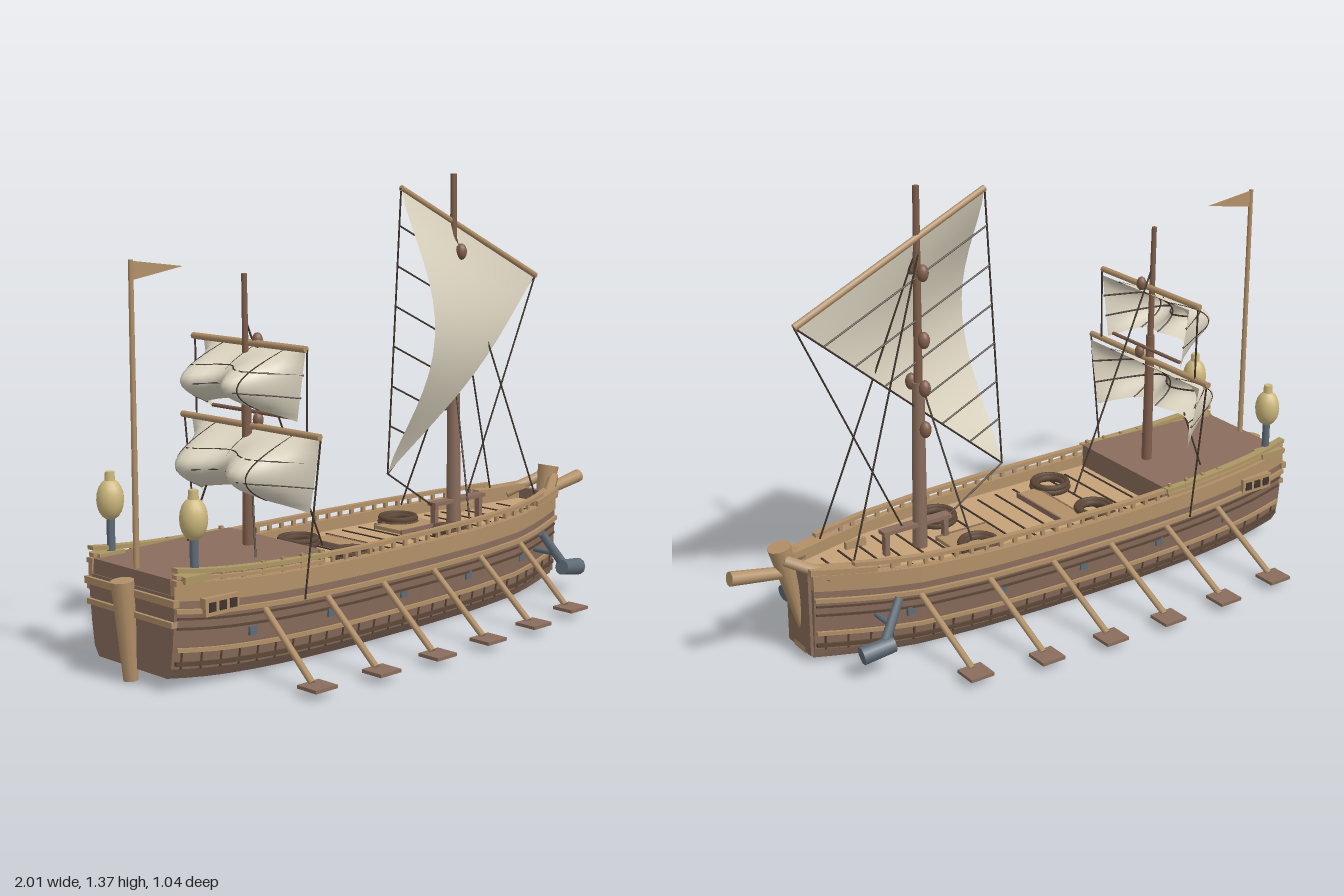
import * as THREE from 'three';

const M = {};
const colours = {
  hullBrown: 0x8a6d5c, darkWood: 0x5c4737, tanWood: 0xb29068, deckTan: 0xc6a379, sailCloth: 0xdcd4c0,
  rope: 0x40342c, iron: 0x5f6c78, lanternYellow: 0xcdb87c, oliveTrim: 0xac9763, mastBrown: 0x7f5e4b,
};
for (const [name, color] of Object.entries(colours)) {
  M[name] = new THREE.MeshStandardMaterial({ color });
  M[name].name = name;
}
M.sailCloth.side = THREE.DoubleSide;

const V = (x, y, z) => new THREE.Vector3(x, y, z);

// Piecewise linear lookup in a short list of [key, value] knots
function lookup(knots, k) {
  for (let i = 1; i < knots.length; i++) {
    const [k0, a] = knots[i - 1], [k1, b] = knots[i];
    if (k <= k1) return THREE.MathUtils.lerp(a, b, Math.max(0, (k - k0) / (k1 - k0)));
  }
  return knots[knots.length - 1][1];
}
const PLAN = [[-.95, .19], [-.8, .208], [-.55, .222], [-.3, .228], [0, .225], [.25, .212], [.47, .183], [.6, .145], [.78, .08]];
const FLARE = [[.005, .8], [.035, .9], [.1, .95], [.2, 1], [.32, .99]];
const half = (x, y) => lookup(PLAN, x) * lookup(FLARE, y);
const lift = (x) => .025 * Math.pow(Math.abs(x) / .85, 4);

export function createModel() {
  const ship = new THREE.Group();
  ship.name = 'sailingGalley';

  const add = (name, geo, mat, x = 0, y = 0, z = 0) => {
    const m = new THREE.Mesh(geo, mat);
    m.name = name;
    m.position.set(x, y, z);
    ship.add(m);
    return m;
  };
  const box = (name, mat, w, h, d, x, y, z) => add(name, new THREE.BoxGeometry(w, h, d), mat, x, y, z);
  // Tapered rod from a to b
  const rod = (name, mat, a, b, r0, r1 = r0, sides = 8) => {
    const d = b.clone().sub(a);
    const m = add(name, new THREE.CylinderGeometry(r1, r0, d.length(), sides), mat);
    m.position.copy(a).addScaledVector(d, .5);
    m.quaternion.setFromUnitVectors(V(0, 1, 0), d.normalize());
    return m;
  };
  const line = (name, a, b) => rod(name, M.rope, a, b, .003, .003, 5);
  const ball = (name, mat, r, sy, x, y, z) => {
    const m = add(name, new THREE.SphereGeometry(r, 14, 10), mat, x, y, z);
    m.scale.y = sy;
    return m;
  };

  // Loft four-cornered sections along x; corners(x) gives [z, y] pairs
  const loft = (name, mat, x0, x1, corners, n = 28) => {
    const pos = [], idx = [];
    for (let i = 0; i <= n; i++) {
      const x = x0 + (x1 - x0) * i / n;
      for (const [z, y] of corners(x)) pos.push(x, y, z);
    }
    for (let i = 0; i < n; i++) for (let k = 0; k < 4; k++) {
      const a = i * 4 + k, b = i * 4 + (k + 1) % 4;
      idx.push(a, b, a + 4, b, b + 4, a + 4);
    }
    const e = n * 4;
    idx.push(0, 2, 1, 0, 3, 2, e, e + 1, e + 2, e, e + 2, e + 3);
    const g = new THREE.BufferGeometry();
    g.setAttribute('position', new THREE.Float32BufferAttribute(pos, 3));
    g.setIndex(idx);
    const flat = g.toNonIndexed();
    flat.computeVertexNormals();
    return add(name, flat, mat);
  };
  // Full-width slab of the hull between two heights
  const slab = (name, mat, y0, y1, x0 = -.95, x1 = .775, inset = 0) => loft(name, mat, x0, x1, (x) => {
    const a = half(x, y0) - inset, b = half(x, y1) - inset, l = lift(x);
    return [[-a, y0 + l], [-b, y1 + l], [b, y1 + l], [a, y0 + l]];
  });
  // Mirrored strip following the sides
  const strip = (name, mat, y, h, x0, x1, inner, outer) => {
    for (const s of [-1, 1]) loft(name, mat, x0, x1, (x) => {
      const w = half(x, y), l = lift(x) + y;
      const [p, q] = s > 0 ? [w + inner, w + outer] : [-w - outer, -w - inner];
      return [[p, l - h / 2], [p, l + h / 2], [q, l + h / 2], [q, l - h / 2]];
    });
  };

  // Hull
  slab('hullBottom', M.hullBrown, .005, .035);
  slab('lowerStrake', M.hullBrown, .035, .1);
  slab('middleStrake', M.hullBrown, .1, .2);
  slab('upperStrake', M.hullBrown, .2, .24);
  slab('deck', M.deckTan, .24, .246, -.45, .775, .004);
  strip('bulwark', M.tanWood, .256, .056, -.95, .775, -.014, .003);
  strip('lowWale', M.darkWood, .05, .012, -.94, .77, -.005, .008);
  strip('bilgeWale', M.tanWood, .09, .012, -.94, .77, -.005, .009);
  strip('midWale', M.darkWood, .15, .007, -.94, .77, -.005, .005);
  strip('portWale', M.darkWood, .178, .006, -.94, .77, -.005, .005);
  strip('mainWale', M.tanWood, .2, .013, -.95, .775, -.005, .011);
  strip('gunwale', M.tanWood, .276, .014, -.95, .78, -.016, .012);
  strip('handRail', M.tanWood, .309, .012, -.44, .66, -.015, .005);
  strip('bowRail', M.tanWood, .29, .02, .6, .785, -.04, .01);

  // Side ribs, balusters and iron fittings
  for (const s of [-1, 1]) {
    for (let i = 0; i < 27; i++) {
      const x = -.92 + i * .064;
      rod('lowerRib', M.darkWood, V(x, .035 + lift(x), s * (half(x, .035) + .001)), V(x, .095 + lift(x), s * (half(x, .095) + .001)), .004, .004, 4);
    }
    for (let i = 0; i < 23; i++) {
      const x = -.44 + i * .0495;
      box('baluster', M.tanWood, .012, .034, .01, x, .291 + lift(x), s * (half(x, .29) - .005));
    }
    for (const x of [-.69, -.4, -.1, .2, .5]) box('ironRing', M.iron, .026, .026, .012, x, .14, s * half(x, .14));
  }

  // Deck planks, hatches, beams and rope coils
  for (let i = 0; i < 16; i++) {
    const x = -.39 + i * .07;
    box('plankSeam', M.rope, .006, .003, 2 * half(x, .24) - .09, x, .248 + lift(x), 0);
  }
  box('aftHatch', M.tanWood, .07, .016, .24, -.125, .254, 0);
  for (const x of [-.162, -.088]) box('aftHatchEdge', M.hullBrown, .006, .018, .246, x, .254, 0);
  box('foreHatch', M.tanWood, .18, .012, .12, .21, .253, -.06);
  for (const z of [-.12, 0]) box('foreHatchEdge', M.hullBrown, .186, .015, .006, .21, .254, z);
  for (const x of [-.215, .225]) for (const z of [-.12, .12]) for (const [r, y] of [[.058, .256], [.044, .264], [.056, .27]]) {
    add('ropeCoil', new THREE.TorusGeometry(r, .01, 6, 22).rotateX(Math.PI / 2), M.darkWood, x, y, z);
  }
  for (const z of [-.1, .1]) box('mooringBlock', M.tanWood, .07, .025, .014, .53, .262, z);
  box('fifeRail', M.hullBrown, .24, .012, .035, .375, .325, 0);
  for (const x of [.27, .48]) box('fifePost', M.hullBrown, .016, .08, .02, x, .285, 0);

  // Stern cabin, trim and galleries
  loft('sternCabin', M.hullBrown, -.945, -.415, (x) => {
    const w = half(x, .3) - .012;
    return [[-w, .24], [-w, .322], [w, .322], [w, .24]];
  }, 10);
  strip('sternRail', M.oliveTrim, .312, .012, -.945, -.42, -.014, .012);
  strip('sternLowerRail', M.tanWood, .293, .01, -.945, -.43, -.014, .006);
  box('transomBeam', M.tanWood, .02, .02, .4, -.95, .26, 0);
  box('transomLowerBeam', M.tanWood, .02, .016, .38, -.95, .2, 0);
  for (const s of [-1, 1]) {
    box('lanternBase', M.oliveTrim, .09, .02, .05, -.885, .322, s * .19);
    box('sternGallery', M.tanWood, .12, .05, .025, -.81, .238, s * .212);
    for (let i = 0; i < 3; i++) box('galleryWindow', M.rope, .024, .026, .005, -.847 + i * .037, .238, s * .2255);
    for (let i = 0; i < 8; i++) box('sternPostlet', M.tanWood, .01, .05, .01, -.93 + i * .07, .305, s * (half(-.93 + i * .07, .3) - .004));
  }
  rod('sternPost', M.tanWood, V(-.955, .01, 0), V(-.978, .295, 0), .022, .034, 10);

  // Bow face, stem and bowsprit
  box('bowFace', M.hullBrown, .02, .27, .135, .775, .165, 0);
  rod('stemPost', M.tanWood, V(.775, .1, 0), V(.838, .375, 0), .012, .036, 12);
  for (const s of [-1, 1]) rod('bowCheek', M.tanWood, V(.72, .285, s * .09), V(.835, .34, s * .025), .02, .018, 6);
  box('keelFoot', M.tanWood, .03, .02, .07, .77, .035, 0);
  rod('bowsprit', M.tanWood, V(.8, .285, 0), V(1, .318, 0), .018, .022, 10);

  // Oars and anchors
  [[-.68, .46], [-.455, .48], [-.23, .483], [-.01, .48], [.215, .465], [.44, .425]].forEach(([x, z]) => {
    for (const s of [-1, 1]) {
      rod('oarShaft', M.tanWood, V(x + .035, .2, s * (half(x, .2) - .01)), V(x, .036, s * (z - .02)), .01, .01, 7);
      box('oarBlade', M.hullBrown, .08, .01, .075, x, .031, s * z);
    }
  });
  for (const s of [-1, 1]) {
    rod('anchorShank', M.iron, V(.56, .215, s * .205), V(.635, .1, s * .24), .013, .016, 8);
    rod('anchorWeight', M.iron, V(.61, .1, s * .25), V(.71, .085, s * .238), .025, .028, 10);
    rod('anchorPin', M.iron, V(.6, .145, s * .13), V(.6, .145, s * .225), .009);
  }

  // Stern lanterns and pennant
  for (const z of [-.185, .185]) {
    rod('lanternPost', M.iron, V(-.875, .31, z), V(-.875, .435, z), .012);
    ball('lanternGlobe', M.lanternYellow, .04, 1.5, -.875, .48, z);
    rod('lanternCap', M.lanternYellow, V(-.875, .53, z), V(-.875, .56, z), .016, .014, 10);
  }
  rod('flagPole', M.tanWood, V(-.928, .28, 0), V(-.928, 1.17, 0), .009, .007);
  const pennant = new THREE.Shape([[-.922, 1.166], [-.922, 1.115], [-.75, 1.143]].map(([x, y]) => new THREE.Vector2(x, y)));
  add('pennant', new THREE.ExtrudeGeometry(pennant, { depth: .005, bevelEnabled: false }), M.tanWood, 0, 0, -.0025);

  // Sail surface from a point function of u and v
  const sail = (name, f) => {
    const g = new THREE.PlaneGeometry(1, 1, 18, 16), p = g.attributes.position;
    for (let i = 0; i < p.count; i++) {
      const q = f(p.getX(i) + .5, .5 - p.getY(i));
      p.setXYZ(i, q.x, q.y, q.z);
    }
    g.computeVertexNormals();
    add(name, g, M.sailCloth);
  };
  const seam = (name, f, r, offset) => {
    const pts = Array.from({ length: 13 }, (_, i) => f(i / 12).add(offset));
    add(name, new THREE.TubeGeometry(new THREE.CatmullRomCurve3(pts), 24, r, 5), M.rope);
  };

  // Main mast with its slanted yard and three-cornered sail
  rod('mainMast', M.hullBrown, V(.36, .24, 0), V(.355, .78, 0), .024, .019, 10);
  rod('mainTopmast', M.mastBrown, V(.355, .76, 0), V(.35, 1.375, 0), .014, .01, 8);
  const A = V(.118, 1.335, -.005), B = V(.76, 1.03, -.005), C = V(.06, .45, -.005);
  rod('mainYard', M.tanWood, A, B, .01, .011);
  const mainSail = (u, v) => {
    const q = A.clone().lerp(B, u).lerp(C, v);
    q.z += .172 * Math.pow(Math.sin(Math.PI * Math.min(v, 1)), 1.3) * (1 - .72 * u);
    return q;
  };
  sail('mainSail', mainSail);
  // Straight rope frame with battens behind the cloth
  line('luffRope', A, C);
  line('leechRope', B, C);
  for (const v of [.13, .27, .41, .55, .69, .83]) line('sailBatten', A.clone().lerp(C, v), B.clone().lerp(C, v));
  for (const [y, z] of [[1.125, -.037], [1.13, .03], [.92, -.037], [.77, -.037], [.77, .04], [.64, -.037]]) ball('mainBlock', M.mastBrown, .018, 1.45, .355, y, z);
  line('yardBrace', B, V(.42, .325, 0));
  line('sheet', C, V(.26, .32, 0));
  for (const s of [-1, 1]) {
    line('foreStay', V(.35, 1.18, s * .008), V(.65, .31, s * .1));
    line('mainShroud', V(.345, .76, s * .01), V(.27, .3, s * .15));
  }

  // Aft mast with two square sails
  rod('aftMast', M.mastBrown, V(-.52, .25, 0), V(-.523, .75, 0), .018, .014, 10);
  rod('aftTopmast', M.mastBrown, V(-.523, .74, 0), V(-.527, 1.11, 0), .01, .008, 8);
  for (const [yTop, drop, top, bottom, yard] of [[.9, .2, .22, .185, .245], [.66, .215, .28, .235, .3]]) {
    rod('aftYard', M.tanWood, V(-.515, yTop + .012, -yard), V(-.515, yTop + .012, yard), .01);
    // Two lobes either side of the mast, hanging lowest at the corners
    const f = (u, v) => {
      const t = u * 2 - 1;
      const belly = (1 - t ** 4) * (.62 + .42 * Math.sin(Math.PI * t) ** 2);
      return V(-.495 - .195 * belly * Math.sin(Math.PI * .84 * v),
        yTop - v * drop + .055 * v * (1 - t * t), t * (top + (bottom - top) * v));
    };
    sail('aftSail', f);
    for (const v of [.33, .66]) seam('aftSailBatten', (u) => f(u, v), .003, V(.004, 0, 0));
    for (const u of [.2, .5, .8]) seam('aftSailGasket', (v) => f(u, v), .0025, V(.003, 0, 0));
  }
  rod('aftBoom', M.mastBrown, V(-.505, .712, -.17), V(-.505, .712, .17), .006);
  for (const y of [.92, .69]) ball('aftBlock', M.mastBrown, .016, 1.4, -.505, y, .03);
  line('aftStay', V(-.52, .97, 0), V(-.225, .27, 0));
  for (const s of [-1, 1]) {
    line('lowerYardBrace', V(-.51, .67, s * .297), V(-.515, .2, s * .235));
    line('upperYardBrace', V(-.51, .91, s * .243), V(-.51, .67, s * .24));
    line('aftSailSheet', V(-.59, .5, s * .1), V(-.625, .325, s * .15));
  }
  return ship;
}
